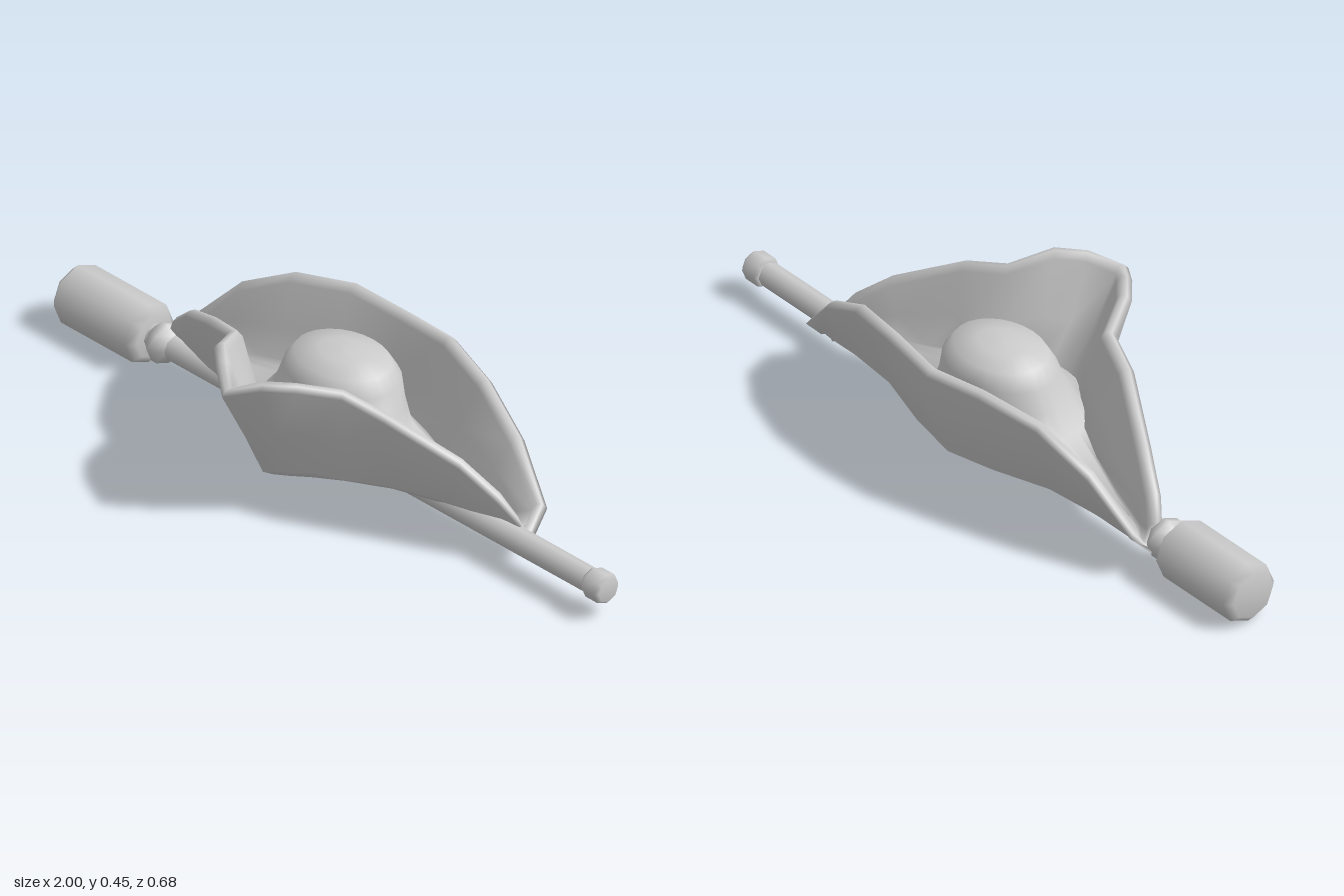
import * as THREE from 'three';

const mat = new THREE.MeshStandardMaterial({ color: 0xcccccc, side: THREE.DoubleSide });

// Half outline of the brim, front centre -> side corner -> back centre:
// upper rim x, y, z, then lower fold x, y, z
const HALF = [
  [0, 0.42, 0.338, 0, 0.115, 0.193],
  [0.085, 0.449, 0.28, 0.06, 0.13, 0.168],
  [0.155, 0.449, 0.22, 0.115, 0.135, 0.125],
  [0.215, 0.412, 0.118, 0.175, 0.12, 0.075],
  [0.33, 0.378, 0.08, 0.28, 0.125, 0.02],
  [0.51, 0.28, -0.015, 0.42, 0.12, -0.04],
  [0.605, 0.198, -0.062, 0.54, 0.11, -0.075],
  [0.652, 0.132, -0.097, 0.61, 0.09, -0.1],
  [0.658, 0.08, -0.137, 0.62, 0.075, -0.13],
  [0.648, 0.145, -0.198, 0.6, 0.085, -0.152],
  [0.52, 0.277, -0.238, 0.48, 0.11, -0.175],
  [0.36, 0.362, -0.276, 0.32, 0.115, -0.195],
  [0.18, 0.39, -0.32, 0.15, 0.11, -0.245],
  [0, 0.375, -0.339, 0, 0.1, -0.268],
];
const CENTRE_Z = -0.09;

function hatGeometry() {
  const last = HALF.length - 1;
  const columns = HALF.map((c, i) => ({ c, angle: (Math.PI * i) / last }));
  for (let i = last - 1; i > 0; i--) {
    const [x, y, z, bx, by, bz] = HALF[i];
    columns.push({ c: [-x, y, z, -bx, by, bz], angle: -(Math.PI * i) / last });
  }
  const n = columns.length;
  const V = (x, y, z) => new THREE.Vector3(x, y, z);

  // Each column runs from the underside, over the rim, to the top of the crown
  const profiles = columns.map(({ c, angle }, i) => {
    const rim = V(c[0], c[1], c[2]);
    const base = V(c[3], c[4], c[5]);
    const prev = columns[(i + n - 1) % n].c;
    const next = columns[(i + 1) % n].c;
    const inward = V(next[2] - prev[2], 0, prev[0] - next[0]).normalize();
    const shift = (p, d, dy = 0) => p.clone().addScaledVector(inward, d).add(V(0, dy, 0));
    const dome = (r, y, forward = 0) =>
      V(Math.sin(angle) * 0.17 * r, y, CENTRE_Z + forward + Math.cos(angle) * 0.13 * r);
    const mid = base.clone().lerp(rim, 0.45);
    // The folds narrow towards the pointed side corners
    const width = Math.min(1, (0.7 - Math.abs(base.x)) / 0.4);
    const floor = base.clone().lerp(V(0, 0, CENTRE_Z), 0.2).setY(base.y + 0.02 + 0.025 * width);
    return [
      V(0, 0.1, CENTRE_Z),
      base.clone().lerp(V(0, 0, CENTRE_Z), 0.55).setY(0.1),
      shift(base, 0.075 * width).setY(0.083),
      shift(base, 0.035 * width).setY(base.y * 0.35 + 0.052),
      base,
      mid,
      shift(rim, 0, -0.016),
      shift(rim, 0.012, -0.002),
      shift(rim, 0.028),
      shift(rim, 0.042, -0.018),
      shift(mid, 0.042, 0.01),
      floor,
      dome(1.4, 0.175, 0.04),
      dome(1.13, 0.24, 0.01),
      dome(1.02, 0.305),
      dome(0.84, 0.346),
      dome(0.4, 0.362),
      V(0, 0.365, CENTRE_Z),
    ];
  });

  const rings = profiles[0].length;
  const position = [];
  const index = [];
  for (let k = 0; k < rings; k++) {
    for (let i = 0; i < n; i++) {
      position.push(...profiles[i][k].toArray());
      if (k === rings - 1) continue;
      const j = (i + 1) % n;
      const a = k * n + i, b = k * n + j;
      index.push(a, b, b + n, a, b + n, a + n);
    }
  }
  const geometry = new THREE.BufferGeometry();
  geometry.setAttribute('position', new THREE.Float32BufferAttribute(position, 3));
  geometry.setIndex(index);
  geometry.computeVertexNormals();
  return geometry;
}

// Eight-sided turned part lying along x; points are [x, radius]
function turned(name, points) {
  const profile = points.map(([x, r]) => new THREE.Vector2(r, x));
  const mesh = new THREE.Mesh(new THREE.LatheGeometry(profile, 8), mat);
  mesh.name = name;
  mesh.rotation.z = -Math.PI / 2;
  mesh.position.set(0, 0.088, -0.085);
  return mesh;
}

export function createModel() {
  const model = new THREE.Group();
  model.name = 'hatWithRod';

  // Three-cornered hat with upturned brim
  const hat = new THREE.Mesh(hatGeometry(), mat);
  hat.name = 'hat';
  model.add(hat);

  // Rod passing through the hat, with grip, collar and end cap
  model.add(
    turned('rod', [[-0.7, 0.036], [0.94, 0.034]]),
    turned('grip', [[-1, 0], [-1, 0.066], [-0.98, 0.086], [-0.715, 0.086], [-0.697, 0.062], [-0.697, 0]]),
    turned('collar', [[-0.7, 0.03], [-0.685, 0.04], [-0.665, 0.058], [-0.645, 0.058], [-0.62, 0.035]]),
    turned('endCap', [[0.93, 0], [0.93, 0.036], [0.94, 0.043], [0.985, 0.043], [0.995, 0.034], [0.995, 0]]),
  );
  return model;
}
